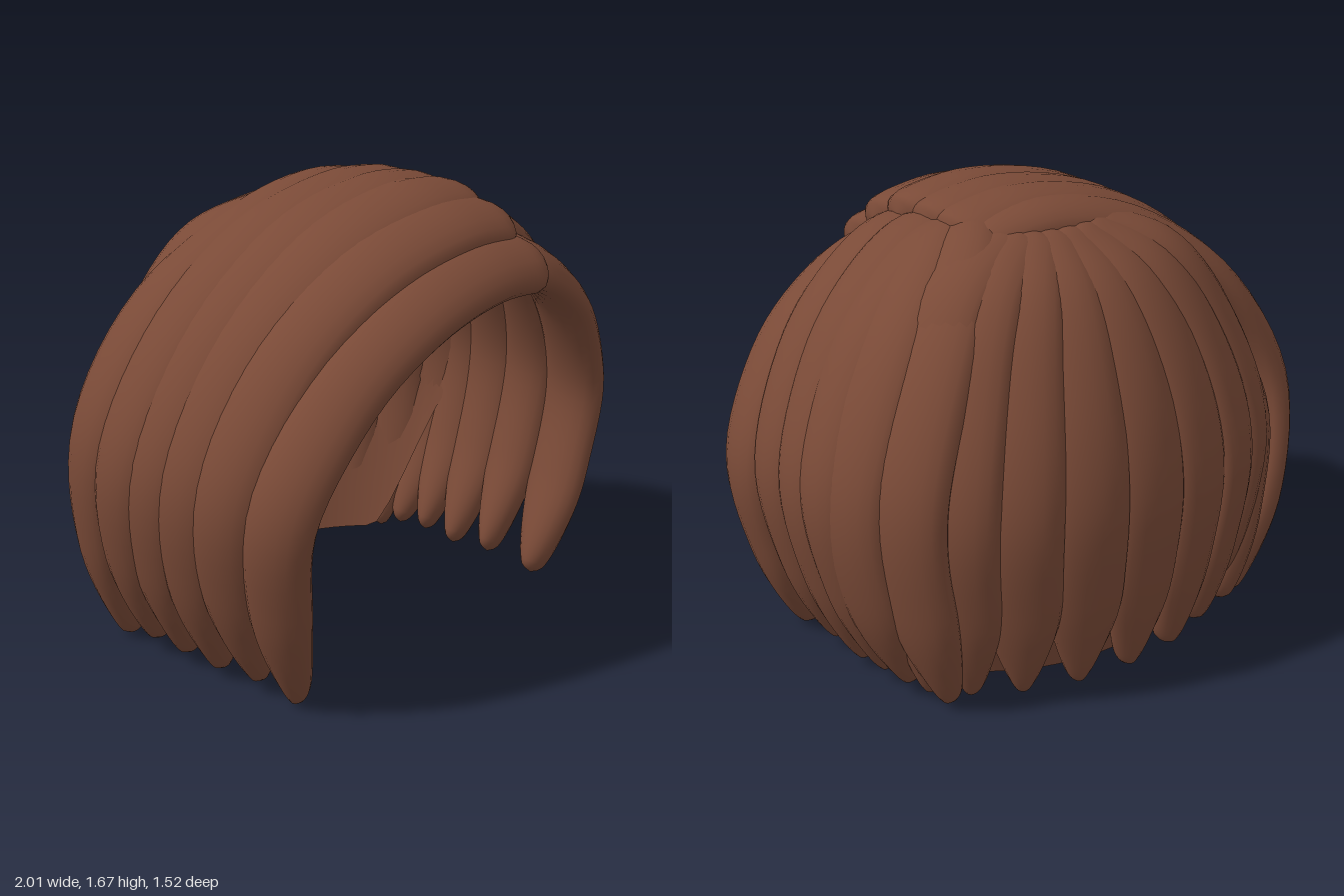
import * as THREE from 'three';

const hair = new THREE.MeshStandardMaterial({ color: 0x7a4a37 });
hair.name = 'chestnut brown';
const hairInside = hair.clone();
hairInside.side = THREE.DoubleSide;

const lerp = THREE.MathUtils.lerp;

// Reads a short list of values as a smooth function of t in 0..1
function sample(list, t) {
  const f = t * (list.length - 1);
  const i = Math.min(Math.floor(f), list.length - 2);
  return lerp(list[i], list[i + 1], THREE.MathUtils.smoothstep(f - i, 0, 1));
}

// Quarter-ellipse rounding of the ends of a lock
function rounding(t, root, tip) {
  const a = Math.max(0, 1 - t / root);
  const b = Math.max(0, 1 - (1 - t) / tip);
  return Math.sqrt(Math.max(0, 1 - a * a)) * Math.sqrt(Math.max(0, 1 - b * b));
}

// A lock: an oval swept along a curve, its flat side facing away from the head
function makeLock(name, points, widths, thickness = 0.075, centreZ = 0) {
  const curve = new THREE.CatmullRomCurve3(points.map(p => new THREE.Vector3(...p)), false, 'centripetal');
  const rows = 44, sides = 18, pos = [], index = [];
  const out = new THREE.Vector3(), side = new THREE.Vector3();
  for (let i = 0; i <= rows; i++) {
    const u = i / rows;
    const t = lerp(u, 0.5 - 0.5 * Math.cos(Math.PI * u), 0.8);
    const p = curve.getPointAt(t), tangent = curve.getTangentAt(t);
    out.set(p.x, p.y - 0.7, p.z - centreZ);
    out.addScaledVector(tangent, -out.dot(tangent)).normalize();
    side.crossVectors(tangent, out);
    const r = rounding(t, 0.05, 0.19);
    const w = sample(widths, t) * r, h = thickness * Math.sqrt(r) * Math.min(1, r * 3);
    for (let j = 0; j < sides; j++) {
      const a = j / sides * Math.PI * 2;
      const v = p.clone().addScaledVector(side, Math.cos(a) * w).addScaledVector(out, Math.sin(a) * h);
      pos.push(v.x, v.y, v.z);
      if (i < rows) {
        const k = i * sides + j, n = i * sides + (j + 1) % sides;
        index.push(k, k + sides, n, n, k + sides, n + sides);
      }
    }
  }
  const g = new THREE.BufferGeometry();
  g.setAttribute('position', new THREE.Float32BufferAttribute(pos, 3));
  g.setIndex(index);
  g.computeVertexNormals();
  const mesh = new THREE.Mesh(g, hair);
  mesh.name = name;
  return mesh;
}

// Sweep of a side lock from the parting to its tip: x, y, share of the drift in z
const rightSweep = [[0.33, 1.57, 0], [0, 1.6, 0], [-0.4, 1.5, 0.15], [-0.73, 1.22, 0.42], [-0.92, 0.8, 0.7], [-0.86, 0.4, 0.92], [-0.69, 0.01, 1]];
const frontSweep = [[0.33, 1.575, 0], [0, 1.6, 0], [-0.35, 1.5, 0.05], [-0.66, 1.25, 0.22], [-0.885, 0.84, 0.5], [-0.84, 0.42, 0.78], [-0.69, 0.01, 1]];
const leftSweep = [[0.2, 1.53, 0], [0.34, 1.53, 0], [0.54, 1.42, 0.15], [0.75, 1.2, 0.42], [0.92, 0.8, 0.85], [0.86, 0.4, 1], [0.69, 0.01, 1]];

function sideLock(name, sweep, zTop, zTip, yTop, tipY, width) {
  const pts = sweep.map(([x, y, drift], i) => {
    const t = i / (sweep.length - 1);
    return [x, y * lerp(yTop / 1.6, 1, t * t) + tipY * t * t, lerp(zTop, zTip, drift)];
  });
  return makeLock(name, pts, [width * 1.2, width * 1.22, width * 1.12, width, width * 0.72], 0.077, zTop * 0.4);
}

// Inner cap behind the locks, open to the front
function makeCap() {
  const profile = [[0, 1.55], [0.15, 1.53], [0.42, 1.39], [0.615, 1.1], [0.685, 0.75], [0.6, 0.38], [0.51, 0.06]];
  const curve = new THREE.CatmullRomCurve3(profile.map(([r, y]) => new THREE.Vector3(r, y, 0)));
  const rows = 24, cols = 40, pos = [], index = [];
  for (let i = 0; i <= rows; i++) {
    for (let j = 0; j <= cols; j++) {
      const a = lerp(-1.5, 1.5, j / cols);
      // The hem rises toward the temples
      const end = 1 - 0.3 * THREE.MathUtils.smoothstep(Math.abs(a), 1.0, 1.5);
      const p = curve.getPoint(i / rows * end);
      pos.push(p.x * 1.28 * Math.sin(a), p.y, -p.x * Math.cos(a));
      if (i < rows && j < cols) {
        const k = i * (cols + 1) + j, n = k + cols + 1;
        index.push(k, k + 1, n, n, k + 1, n + 1);
      }
    }
  }
  const g = new THREE.BufferGeometry();
  g.setAttribute('position', new THREE.Float32BufferAttribute(pos, 3));
  g.setIndex(index);
  g.computeVertexNormals();
  const mesh = new THREE.Mesh(g, hairInside);
  mesh.name = 'innerCap';
  return mesh;
}

export function createModel() {
  const wig = new THREE.Group();
  wig.name = 'bobHair';
  wig.add(makeCap());

  // Side locks: sweep, top z, tip z, top y, tip height, half width
  const rightRows = [
    [frontSweep, 0.63, 0.43, 1.415, 0.0, 0.12],
    [rightSweep, 0.48, 0.26, 1.535, 0.03, 0.125],
    [rightSweep, 0.33, 0.08, 1.59, 0.02, 0.13],
    [rightSweep, 0.18, -0.08, 1.6, 0.03, 0.13],
    [rightSweep, 0.04, -0.23, 1.6, 0.04, 0.13],
  ];
  rightRows.forEach((r, i) => wig.add(sideLock('rightLock' + (i + 1), ...r)));
  const leftRows = [
    [0.53, 0.42, 1.43, 0.0, 0.135],
    [0.36, 0.21, 1.55, 0.03, 0.115],
    [0.2, 0.04, 1.59, 0.02, 0.12],
    [0.06, -0.1, 1.6, 0.04, 0.115],
  ];
  leftRows.forEach((r, i) => wig.add(sideLock('leftLock' + (i + 1), leftSweep, ...r)));

  // Swept locks curling from the end of the parting toward the back
  const broad = [0.11, 0.135, 0.15, 0.135, 0.09];
  const sweptLocks = {
    leftSweptLock: [[0.27, 1.55, 0.1], [0.46, 1.49, -0.03], [0.7, 1.26, -0.14], [0.89, 0.82, -0.19], [0.845, 0.42, -0.22], [0.68, 0.05, -0.22]],
    leftCrownLock: [[0.2, 1.57, 0.04], [0.36, 1.53, -0.12], [0.58, 1.32, -0.28], [0.79, 0.86, -0.37], [0.76, 0.42, -0.39], [0.63, 0.02, -0.38]],
    rightCrownLock: [[0.3, 1.55, -0.08], [0, 1.59, -0.1], [-0.36, 1.5, -0.14], [-0.67, 1.26, -0.25], [-0.87, 0.86, -0.34], [-0.82, 0.42, -0.4], [-0.67, 0.01, -0.39]],
    rightSweptLock: [[-0.1, 1.47, -0.2], [-0.28, 1.38, -0.27], [-0.52, 1.15, -0.38], [-0.71, 0.8, -0.42], [-0.69, 0.4, -0.43], [-0.58, 0.03, -0.44]],
  };
  for (const [name, pts] of Object.entries(sweptLocks)) wig.add(makeLock(name, pts, broad));

  // Back locks fanning out from the crown
  const fan = [[0.2, 1.56], [0.6, 1.41], [0.87, 1.12], [1, 0.77], [0.95, 0.4], [0.83, 0.03]];
  for (let i = -3; i <= 4; i++) {
    const x = Math.sign(i) * [0, 0.25, 0.48, 0.66, 0.78][Math.abs(i)];
    const z = -0.685 * Math.sqrt(1 - (x / 0.91) ** 2);
    const pts = fan.map(([f, y], k) => [x * f, y + (k === 1 ? 0.08 * x * x : 0), z * f - (k ? 0 : 0.03)]);
    wig.add(makeLock('backLock' + (i + 4), pts, [0.12, 0.14, 0.147, 0.14, 0.085]));
  }
  return wig;
}
